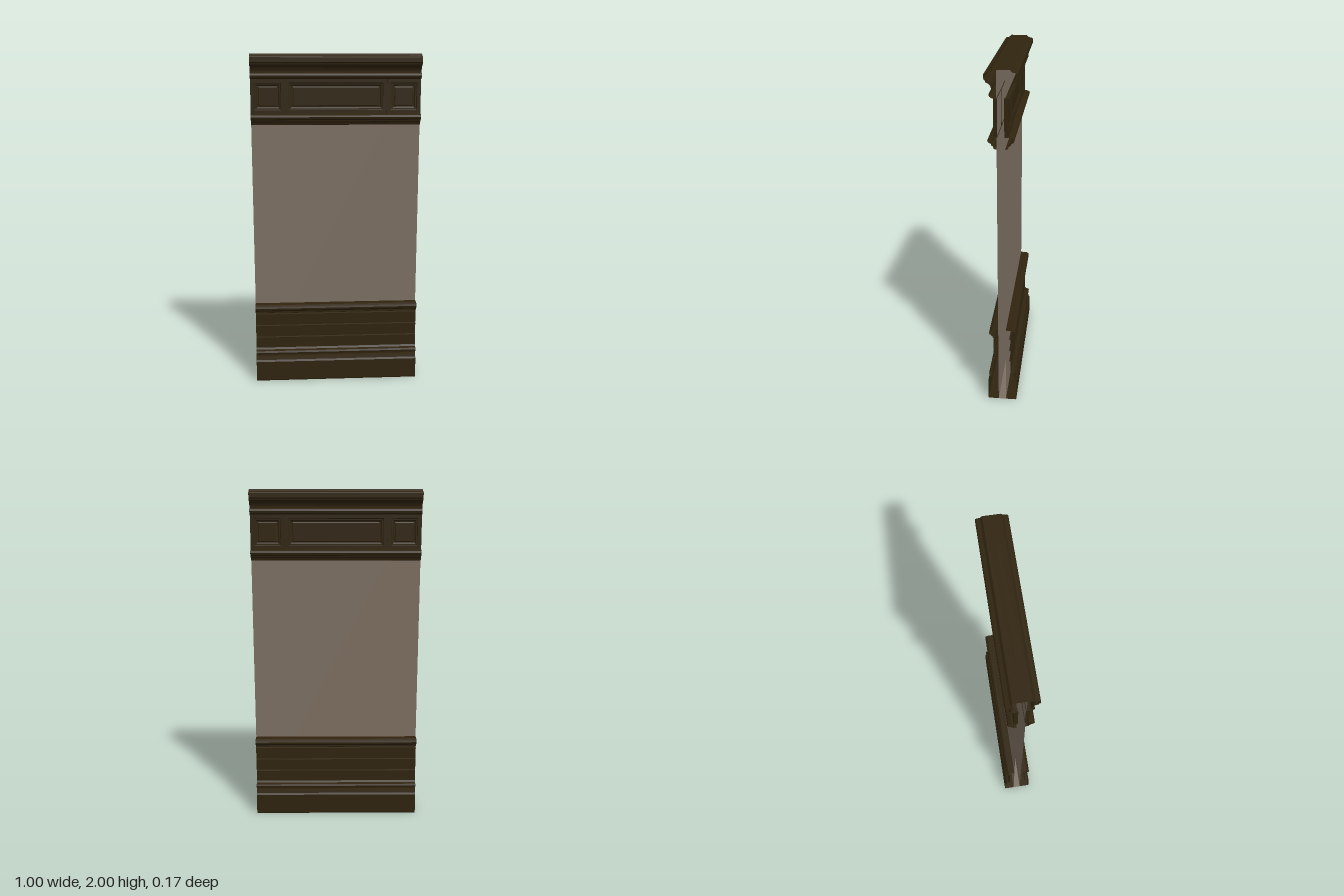
import * as THREE from 'three';

const W = 1, WALL = 0.022;

const wood = new THREE.MeshStandardMaterial({ color: 0x30240f, side: THREE.DoubleSide });
wood.name = 'darkWood';
const plaster = new THREE.MeshStandardMaterial({ color: 0x7d6f62, side: THREE.DoubleSide });
plaster.name = 'plaster';

function quadGeometry(quads) {
  const pos = [];
  for (const [a, b, c, d] of quads) pos.push(...a, ...b, ...c, ...a, ...c, ...d);
  const g = new THREE.BufferGeometry();
  g.setAttribute('position', new THREE.Float32BufferAttribute(pos, 3));
  g.computeVertexNormals();
  return g;
}

function addMesh(group, name, geometry, material) {
  const mesh = new THREE.Mesh(geometry, material);
  mesh.name = name;
  group.add(mesh);
  return mesh;
}

// Open-ended strip along x from a [z, y] profile listed bottom to top
function sweep(profile) {
  const h = W / 2, quads = [];
  for (let i = 0; i + 1 < profile.length; i++) {
    const [z0, y0] = profile[i], [z1, y1] = profile[i + 1];
    quads.push([[-h, y0, z0], [h, y0, z0], [h, y1, z1], [-h, y1, z1]]);
  }
  return quadGeometry(quads);
}

// Panel of nested rectangles, each ring given as [inset, z]
function ringPanel(x0, x1, y0, y1, rings) {
  const loops = rings.map(([i, z]) => [
    [x0 + i, y0 + i, z], [x1 - i, y0 + i, z], [x1 - i, y1 - i, z], [x0 + i, y1 - i, z]]);
  const quads = [];
  for (let r = 0; r + 1 < loops.length; r++) {
    for (let k = 0; k < 4; k++) {
      const n = (k + 1) % 4;
      quads.push([loops[r][k], loops[r][n], loops[r + 1][n], loops[r + 1][k]]);
    }
  }
  quads.push(loops[loops.length - 1]);
  return quadGeometry(quads);
}

const baseboard = [
  [WALL, 0], [0.082, 0], [0.085, 0.008], [0.085, 0.125], [0.078, 0.135],
  [0.074, 0.155], [0.062, 0.158], [0.062, 0.165], [0.076, 0.17], [0.079, 0.182],
  [0.074, 0.192], [0.058, 0.197], [0.05, 0.207]];

const chairRail = [
  [0.05, 0.435], [0.056, 0.438], [0.056, 0.446], [0.064, 0.452], [0.074, 0.46],
  [0.076, 0.47], [0.072, 0.481], [0.06, 0.488], [WALL, 0.49]];

const friezeRail = [
  [WALL, 1.59], [0.036, 1.592], [0.04, 1.605], [0.05, 1.612], [0.052, 1.62],
  [0.066, 1.627], [0.07, 1.638], [0.066, 1.648], [0.05, 1.654], [WALL, 1.657]];

const crown = [
  [WALL, 1.855], [0.046, 1.858], [0.058, 1.866], [0.061, 1.877], [0.056, 1.888],
  [0.045, 1.893], [0.046, 1.905], [0.052, 1.92], [0.064, 1.932], [0.076, 1.938],
  [0.078, 1.946], [0.085, 1.952], [0.085, 1.978], [0.08, 1.984], [0.06, 1.988],
  [0.048, 2], [0, 2]];

function createSide() {
  const side = new THREE.Group();
  addMesh(side, 'wallSheet', sweep([[0, 0], [WALL, 0], [WALL, 1.995]]), plaster);
  addMesh(side, 'baseboard', sweep(baseboard), wood);

  // Three stacked boards with a narrow groove under each
  for (let i = 0; i < 3; i++) {
    const y = 0.207 + i * 0.076;
    addMesh(side, 'wainscotBoard', sweep([
      [0.05, y], [0.05, y + 0.066], [0.042, y + 0.07], [0.042, y + 0.075], [0.05, y + 0.076]]), wood);
  }
  addMesh(side, 'chairRail', sweep(chairRail), wood);
  addMesh(side, 'friezeRail', sweep(friezeRail), wood);

  // Outer frieze blocks stand slightly prouder than the centre one
  const face = (z) => [
    [0, 0.018], [0, z], [0.022, z], [0.026, z - 0.004], [0.032, z - 0.004],
    [0.04, z - 0.01], [0.044, z - 0.01], [0.05, z - 0.007]];
  for (const [name, x0, x1, z] of [
    ['rightFriezePanel', -0.5, -0.3, 0.038],
    ['centreFriezePanel', -0.3, 0.3, 0.034],
    ['leftFriezePanel', 0.3, 0.5, 0.038]]) {
    addMesh(side, name, ringPanel(x0, x1, 1.655, 1.857, face(z)), wood);
  }
  addMesh(side, 'crown', sweep(crown), wood);
  return side;
}

export function createModel() {
  const model = new THREE.Group();
  model.name = 'panelledWall';
  // The two faces of the wall are alike
  ['frontSide', 'backSide'].forEach((name, i) => {
    const side = createSide();
    side.name = name;
    side.rotation.y = i * Math.PI;
    model.add(side);
  });
  return model;
}
